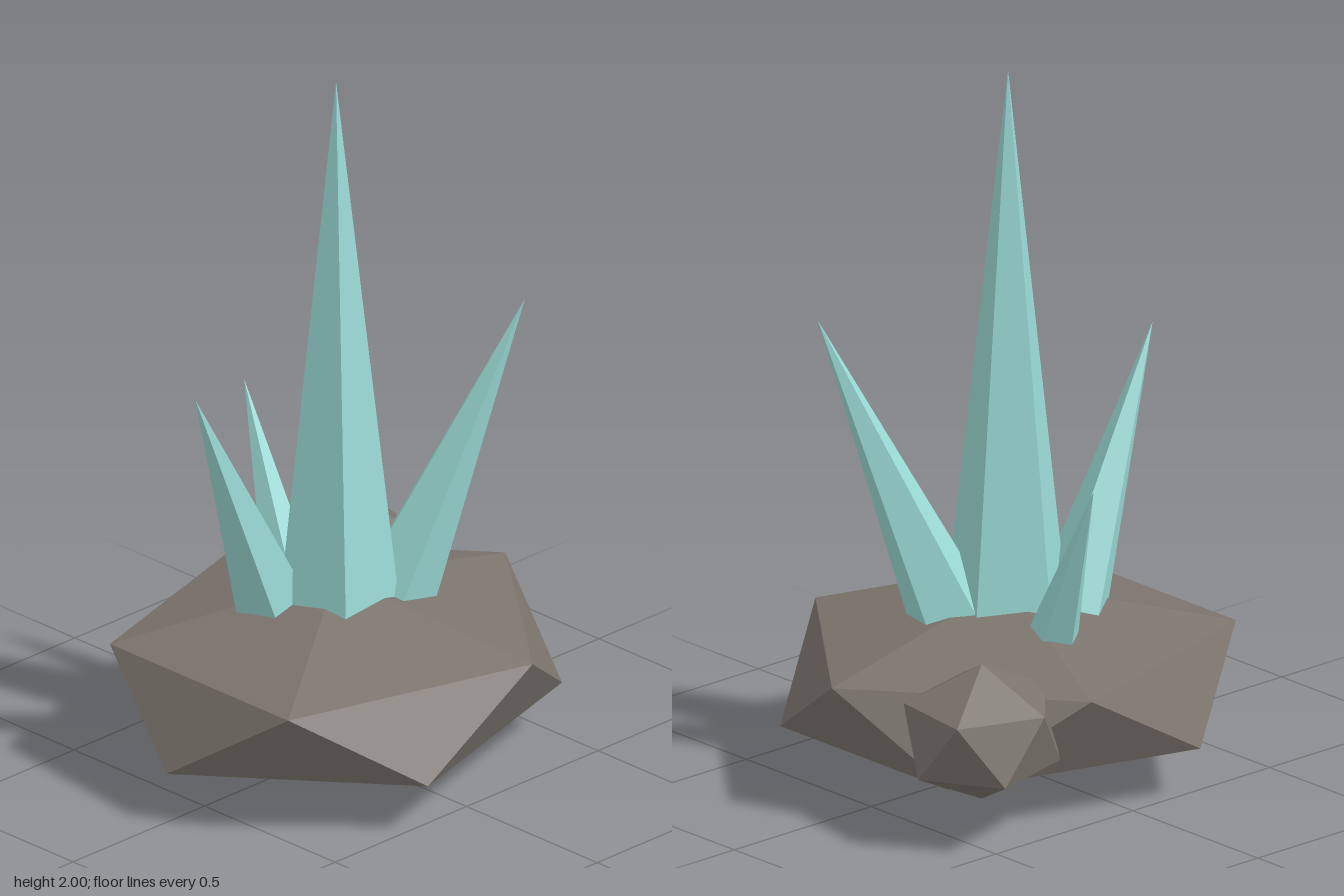
import * as THREE from 'three';

// Twenty-sided boulder standing on one of its points, squashed per axis
function makeRock(name, material, center, radii, turn) {
  const points = [0, 1, 0];
  for (const [y, offset] of [[0.447, 0], [-0.447, Math.PI / 5]]) {
    for (let i = 0; i < 5; i++) {
      const a = offset + (i * Math.PI * 2) / 5;
      points.push(0.894 * Math.cos(a), y, 0.894 * Math.sin(a));
    }
  }
  points.push(0, -1, 0);
  const faces = [];
  for (let i = 0; i < 5; i++) {
    const u = 1 + i, un = 1 + ((i + 1) % 5);
    const l = 6 + i, ln = 6 + ((i + 1) % 5);
    faces.push(0, un, u, u, un, l, un, ln, l, 11, l, ln);
  }
  const indexed = new THREE.BufferGeometry();
  indexed.setAttribute('position', new THREE.Float32BufferAttribute(points, 3));
  indexed.setIndex(faces);
  const geometry = indexed.toNonIndexed();
  geometry.scale(...radii);
  geometry.computeVertexNormals();
  const rock = new THREE.Mesh(geometry, material);
  rock.name = name;
  rock.position.set(...center);
  rock.rotation.y = turn;
  return rock;
}

// Five-sided spike from a point on the rock to its tip, with its root sunk into the rock
function makeCrystal(name, material, foot, tip, radius, sink) {
  const start = new THREE.Vector3(...foot);
  const end = new THREE.Vector3(...tip);
  const axis = end.clone().sub(start);
  const length = axis.length();
  axis.normalize();
  const full = length + sink;
  const geometry = new THREE.ConeGeometry((radius * full) / length, full, 5);
  geometry.rotateY(Math.PI);
  geometry.translate(0, -full / 2, 0);
  const flat = geometry.toNonIndexed();
  flat.computeVertexNormals();
  const crystal = new THREE.Mesh(flat, material);
  crystal.name = name;
  crystal.position.copy(end);
  crystal.quaternion.setFromUnitVectors(new THREE.Vector3(0, 1, 0), axis);
  return crystal;
}

export function createModel() {
  const stone = new THREE.MeshStandardMaterial({ color: 0x7b746d, flatShading: true });
  stone.name = 'stone';
  const ice = new THREE.MeshStandardMaterial({ color: 0x9bdad6, flatShading: true });
  ice.name = 'paleCrystal';

  const model = new THREE.Group();
  model.name = 'crystalCluster';

  // Rocks
  model.add(makeRock('baseRock', stone, [0, 0.264, 0], [0.72, 0.26, 0.65], 0));
  model.add(makeRock('sideRock', stone, [0.42, 0.297, -0.355], [0.26, 0.193, 0.234], 0.54));

  // Crystals
  model.add(makeCrystal('mainCrystal', ice, [0, 0.487, 0], [0, 2, 0], 0.17, 0.08));
  model.add(makeCrystal('rightCrystal', ice, [-0.15, 0.47, -0.1], [-0.465, 1.18, -0.07], 0.105, 0.05));
  model.add(makeCrystal('leftCrystal', ice, [0.155, 0.46, 0.07], [0.43, 1.305, 0.29], 0.115, 0.05));
  model.add(makeCrystal('backCrystal', ice, [0.045, 0.455, -0.238], [0.095, 0.93, -0.447], 0.07, 0.05));
  return model;
}
